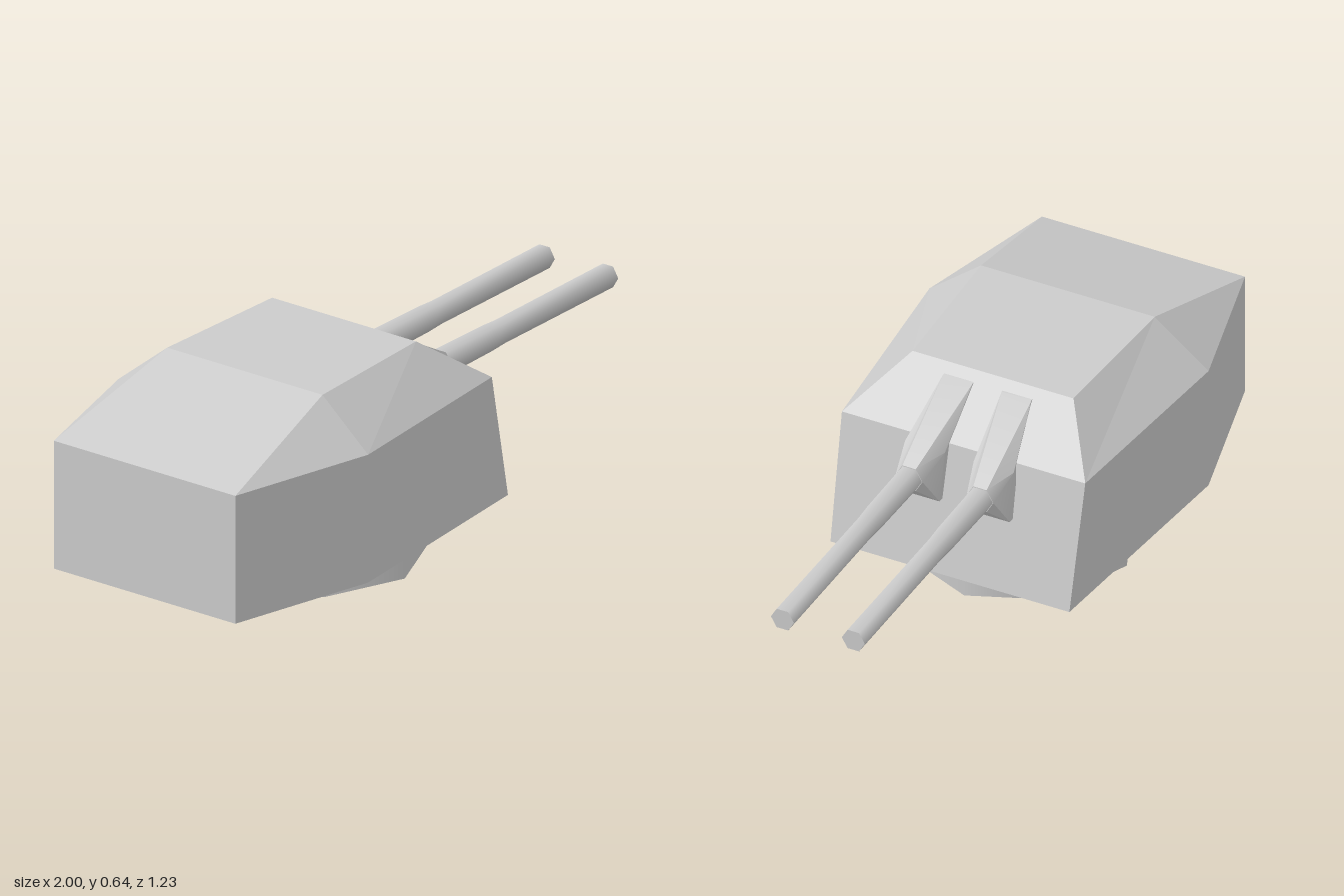
import * as THREE from 'three';
import { toCreasedNormals } from 'three/addons/utils/BufferGeometryUtils.js';

const HEADING = THREE.MathUtils.degToRad(24);

// Skin over six-point rings, closed at both ends.
function loft(rings, crease) {
  const pos = [];
  const quad = (a, b, c, d) => pos.push(...a, ...b, ...c, ...a, ...c, ...d);
  for (let k = 0; k < rings.length - 1; k++) {
    const lo = rings[k], hi = rings[k + 1];
    for (let i = 0; i < 6; i++) {
      const j = (i + 1) % 6;
      quad(lo[i], lo[j], hi[j], hi[i]);
    }
  }
  const a = rings[0], z = rings[rings.length - 1];
  quad(a[5], a[4], a[1], a[0]);
  quad(a[4], a[3], a[2], a[1]);
  quad(z[0], z[1], z[4], z[5]);
  quad(z[1], z[2], z[3], z[4]);
  const geo = new THREE.BufferGeometry();
  geo.setAttribute('position', new THREE.Float32BufferAttribute(pos, 3));
  geo.computeVertexNormals();
  return crease ? toCreasedNormals(geo, crease) : geo;
}

// Mirrored outline of the housing: [x, y, half width] for back, middle and front.
function outline(back, mid, front) {
  const half = [back, mid, front].map(([x, y, w]) => [x, y, w]);
  return [...half, ...half.map(([x, y, w]) => [x, y, -w]).reverse()];
}

// Section of a gun collar: [x, y, inner, outer] at top, side and bottom.
function collarRing(side, top, mid, bottom) {
  const lo = p => [p[0], p[1], side > 0 ? p[2] : -p[3]];
  const hi = p => [p[0], p[1], side > 0 ? p[3] : -p[2]];
  return [lo(mid), lo(top), hi(top), hi(mid), hi(bottom), lo(bottom)];
}

export function createModel() {
  const model = new THREE.Group();
  model.name = 'gunTurret';

  const turret = new THREE.Group();
  turret.name = 'turret';
  turret.rotation.y = HEADING;
  turret.position.set(-0.025, 0, -0.056);
  model.add(turret);

  const flat = new THREE.MeshStandardMaterial({ color: 0xcccccc, flatShading: true });
  const smooth = new THREE.MeshStandardMaterial({ color: 0xcccccc });
  const open = new THREE.MeshStandardMaterial({ color: 0xcccccc, side: THREE.DoubleSide });
  const add = (name, geo, mat, parent = turret) => {
    const mesh = new THREE.Mesh(geo, mat);
    mesh.name = name;
    parent.add(mesh);
    return mesh;
  };

  // Armoured housing: floor, rim and faceted roof
  add('housing', loft([
    outline([-0.925, 0.118, 0.318], [-0.472, 0.118, 0.437], [0.252, 0.118, 0.374]),
    outline([-0.925, 0.506, 0.318], [-0.472, 0.506, 0.437], [0.169, 0.506, 0.381]),
    outline([-0.925, 0.506, 0.318], [-0.465, 0.642, 0.272], [-0.01, 0.642, 0.252]),
  ]), flat);

  // Open eight-sided base ring
  const ring = add('baseRing', new THREE.CylinderGeometry(0.336, 0.336, 0.118, 8, 1, true), open);
  ring.position.set(-0.171, 0.059, 0);

  // Hexagonal barrel with a slimmer front half
  const profile = [[0, 0.1], [0.04, 0.1], [0.04, 0.3], [0.038, 0.5], [0.035, 0.56], [0.036, 1.055], [0, 1.055]]
    .map(([r, x]) => new THREE.Vector2(r, x));
  const barrelGeo = toCreasedNormals(new THREE.LatheGeometry(profile, 6).rotateZ(-Math.PI / 2), 1.1);

  for (const side of [1, -1]) {
    const gun = new THREE.Group();
    gun.name = side > 0 ? 'leftGun' : 'rightGun';
    turret.add(gun);

    const barrel = add('barrel', barrelGeo, smooth, gun);
    barrel.position.set(0, 0.438, side * 0.111);

    // Collar flaring from a tall plate on the sloped face to the barrel
    add('collar', loft([
      collarRing(side, [-0.02, 0.62, 0.045, 0.138], [0.13, 0.506, 0.045, 0.158], [0.16, 0.34, 0.048, 0.172]),
      collarRing(side, [0.025, 0.62, 0.045, 0.138], [0.195, 0.49, 0.045, 0.17], [0.222, 0.34, 0.048, 0.172]),
      collarRing(side, [0.285, 0.475, 0.09, 0.132], [0.285, 0.438, 0.069, 0.153], [0.285, 0.401, 0.09, 0.132]),
    ], 0.7), smooth, gun);
  }
  return model;
}
